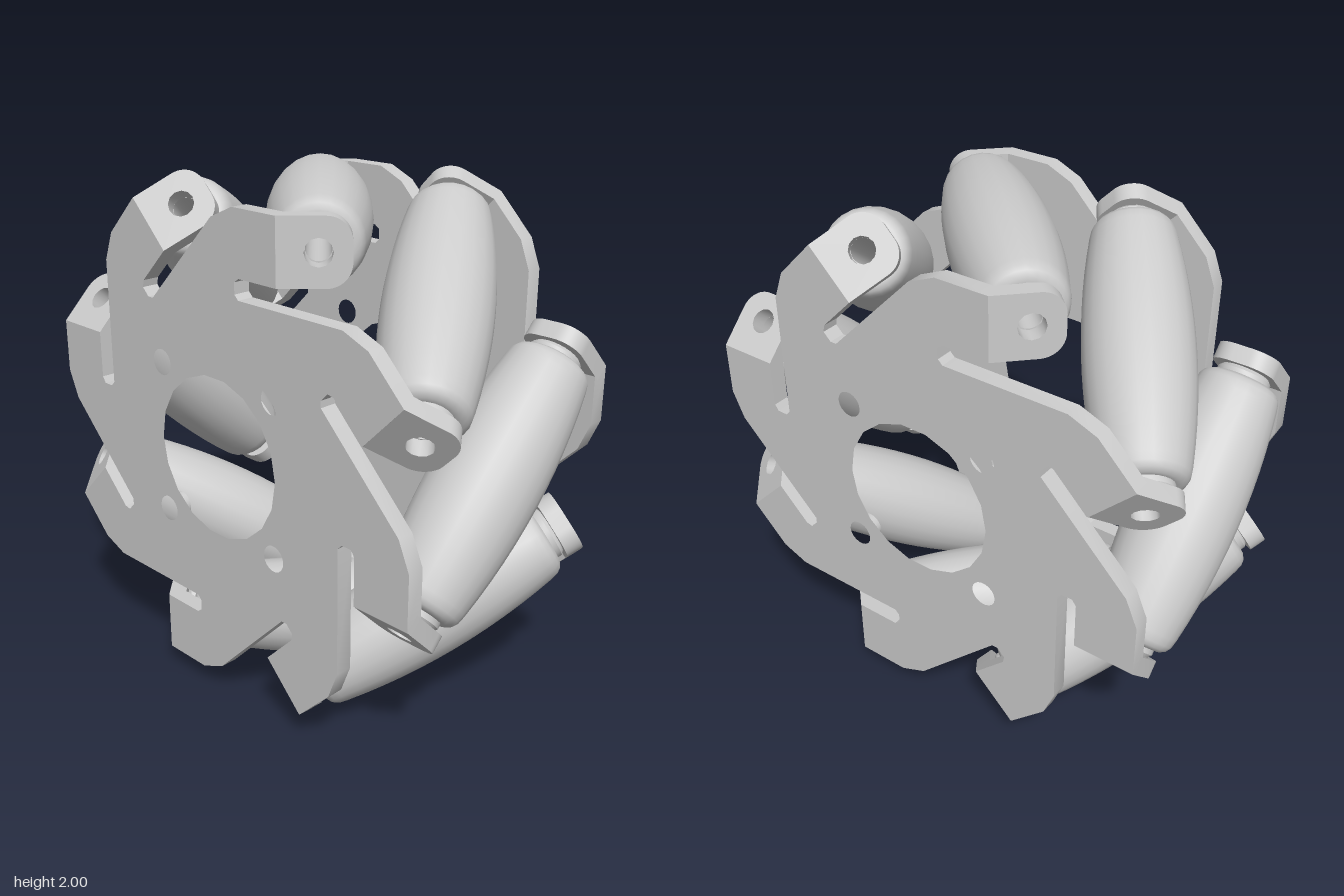
import * as THREE from 'three';
import { toCreasedNormals } from 'three/addons/utils/BufferGeometryUtils.js';

const COUNT = 8;
const STEP = (Math.PI * 2) / COUNT;
const AXIS = 0.805;      // radius at which the roller axes sit
const TILT = Math.PI / 4; // roller skew
const THICK = 0.065;     // sheet thickness
const OUTER = 0.52;      // outer face of each plate

const material = new THREE.MeshStandardMaterial({ color: 0xcccccc });

function add(parent, name, geometry) {
  const mesh = new THREE.Mesh(geometry, material);
  mesh.name = name;
  parent.add(mesh);
  return mesh;
}

function hole(x, y, r) {
  return new THREE.Path().absarc(x, y, r, 0, Math.PI * 2, true);
}

// Barrel roller with rounded shoulders, end hubs and an axle bore
function rollerGeometry() {
  const half = [];
  for (let i = 0; i <= 6; i++) {
    const s = (i / 6) * 0.44;
    half.push([0.195 - 0.038 * (s / 0.44) ** 2, s]);
  }
  half.push([0.150, 0.47], [0.138, 0.488], [0.118, 0.5], [0.1, 0.5], [0.1, 0.52], [0.088, 0.533], [0.045, 0.533]);
  const lower = half.slice(1).reverse().map(([r, s]) => [r, -s]);
  const points = [...lower, ...half, [0.045, -0.533]].map(([r, s]) => new THREE.Vector2(r, s));
  const geo = new THREE.LatheGeometry(points, 24);
  return toCreasedNormals(geo.rotateX(Math.PI / 2), 0.6);
}

// Flat pinwheel plate: eight arms cut off at their bend lines, slits between
function plateGeometry() {
  const arm = [
    [0.01, 0.873], [0.118, 0.92], [0.326, 0.92], [0.326, 0.685],
    [0.145, 0.685], [0.122, 0.67], [0.122, 0.628], [0.14, 0.61],
  ];
  const outline = [];
  const centre = new THREE.Vector2();
  for (let k = 0; k < COUNT; k++) {
    for (const [x, y] of arm) outline.push(new THREE.Vector2(x, y).rotateAround(centre, -k * STEP));
  }
  const shape = new THREE.Shape(outline);
  shape.holes.push(hole(0, 0, 0.308));
  for (const x of [-0.295, 0.295]) {
    for (const y of [-0.295, 0.295]) shape.holes.push(hole(x, y, 0.05));
  }
  const geo = new THREE.ExtrudeGeometry(shape, { depth: THICK, bevelEnabled: false, curveSegments: 9 });
  return toCreasedNormals(geo.translate(0, 0, OUTER - THICK), 0.5);
}

// Rounded tab folded inwards, square to the roller axis
function tabGeometry() {
  const start = -0.137, end = 0.11, h = 0.1175, r = 0.085;
  const shape = new THREE.Shape();
  shape.moveTo(start, -h);
  shape.lineTo(end - r, -h);
  shape.absarc(end - r, -h + r, r, -Math.PI / 2, 0, false);
  shape.absarc(end - r, h - r, r, 0, Math.PI / 2, false);
  shape.lineTo(start, h);
  shape.holes.push(hole(0, 0, 0.048));
  const geo = new THREE.ExtrudeGeometry(shape, { depth: THICK, bevelEnabled: false, curveSegments: 6 });
  geo.translate(0, 0, 0.533).rotateY(TILT).translate(0, 0.8025, 0);
  return toCreasedNormals(geo, 0.6);
}

export function createModel() {
  const model = new THREE.Group();
  model.name = 'rollerWheel';

  // Wheel is built around local z, then turned so its axle lies along x
  const wheel = new THREE.Group();
  wheel.name = 'wheel';
  wheel.rotation.y = Math.PI / 2;
  wheel.position.y = 1;
  model.add(wheel);

  // Skewed rollers around the rim
  const roller = rollerGeometry().rotateY(TILT).translate(0, AXIS, 0);
  for (let k = 0; k < COUNT; k++) add(wheel, 'roller', roller).rotation.z = -k * STEP;

  // The two side plates are half-turn copies of each other
  const plate = plateGeometry();
  const tab = tabGeometry();
  for (const [name, turn] of [['leftSidePlate', 0], ['rightSidePlate', Math.PI]]) {
    const side = new THREE.Group();
    side.name = name;
    side.rotation.y = turn;
    wheel.add(side);
    add(side, 'plate', plate);
    for (let k = 0; k < COUNT; k++) add(side, 'rollerTab', tab).rotation.z = -k * STEP;
  }
  return model;
}
